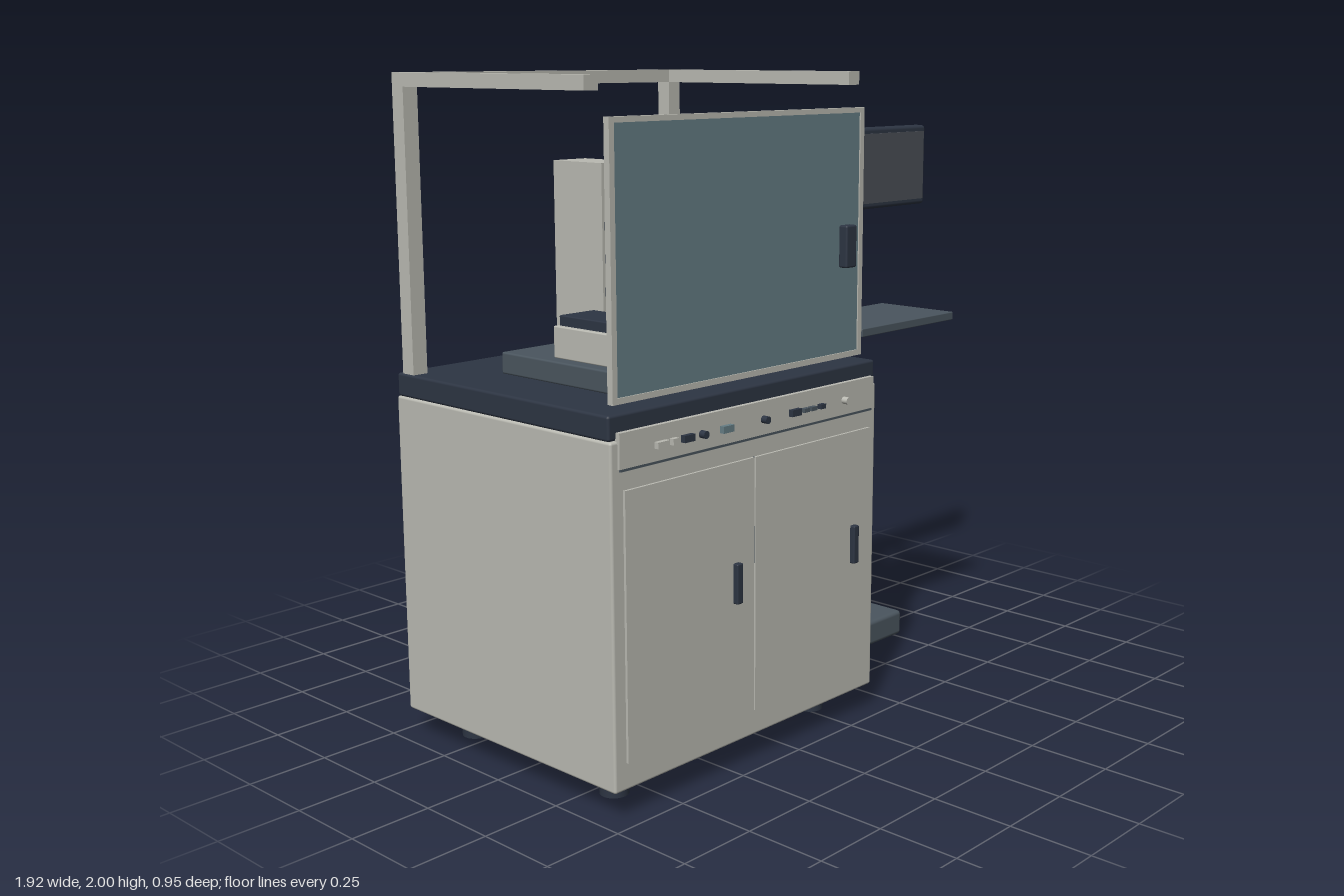
import * as THREE from 'three';
import { RoundedBoxGeometry } from 'three/addons/geometries/RoundedBoxGeometry.js';

const material = (name, color) => {
  const m = new THREE.MeshStandardMaterial({ color });
  m.name = name;
  return m;
};

export function createModel() {
  const model = new THREE.Group();
  model.name = 'inspectionWorkstation';

  const beige = material('warmGrey', 0xbabab2);
  const navy = material('darkNavy', 0x2d3543);
  const slate = material('slate', 0x4a555e);
  const glass = material('tintedGlass', 0x667e85);
  const screen = material('screenGrey', 0x4b4f57);

  // Box given by its limits on each axis, with an optional edge radius
  const box = (name, mat, [x0, x1], [y0, y1], [z0, z1], r = 0) => {
    const w = x1 - x0, h = y1 - y0, d = z1 - z0;
    const geo = r ? new RoundedBoxGeometry(w, h, d, 2, r) : new THREE.BoxGeometry(w, h, d);
    const mesh = new THREE.Mesh(geo, mat);
    mesh.name = name;
    mesh.position.set((x0 + x1) / 2, (y0 + y1) / 2, (z0 + z1) / 2);
    model.add(mesh);
    return mesh;
  };

  // Cylinder centred on a point, standing or lying along z
  const rod = (name, mat, r, length, x, y, z, alongZ = false) => {
    const mesh = new THREE.Mesh(new THREE.CylinderGeometry(r, r, length, 32), mat);
    mesh.name = name;
    mesh.position.set(x, y, z);
    if (alongZ) mesh.rotation.x = Math.PI / 2;
    model.add(mesh);
    return mesh;
  };

  // Cabinet, worktop and feet
  box('cabinet', beige, [-0.96, 0.16], [0.08, 1.06], [-0.468, 0.45], 0.008);
  box('worktop', navy, [-0.96, 0.16], [1.06, 1.13], [-0.462, 0.443], 0.008);
  for (const x of [-0.828, 0.028])
    for (const z of [0.305, -0.31]) rod('foot', navy, 0.043, 0.085, x, 0.0425, z);

  // Doors with a dark gap and handles
  box('rightDoor', beige, [-0.917, -0.408], [0.16, 0.925], [0.445, 0.458]);
  box('leftDoor', beige, [-0.402, 0.125], [0.16, 0.925], [0.445, 0.458]);
  box('doorGap', slate, [-0.408, -0.402], [0.16, 0.925], [0.446, 0.453]);
  for (const x of [-0.484, 0.046])
    box('doorHandle', navy, [x - 0.012, x + 0.012], [0.51, 0.63], [0.455, 0.475], 0.004);

  // Control panel with its shadow strip
  box('controlPanel', beige, [-0.935, 0.138], [0.985, 1.083], [0.44, 0.458]);
  box('panelStrip', slate, [-0.93, 0.135], [0.977, 0.985], [0.446, 0.455]);

  // Panel sockets: centre x, width, height, material
  const sockets = [
    [-0.785, 0.045, 0.018, beige], [-0.738, 0.022, 0.018, beige],
    [-0.685, 0.04, 0.02, navy], [-0.53, 0.042, 0.02, glass],
    [-0.238, 0.042, 0.02, navy], [-0.193, 0.024, 0.012, slate],
    [-0.16, 0.024, 0.012, slate], [-0.118, 0.022, 0.014, navy],
  ];
  for (const [x, w, h, mat] of sockets)
    box('panelSocket', mat, [x - w / 2, x + w / 2], [1.03 - h / 2, 1.03 + h / 2], [0.455, 0.473]);
  for (const [x, mat] of [[-0.625, navy], [-0.37, navy], [-0.006, beige]])
    rod('panelButton', mat, 0.011, 0.022, x, 1.03, 0.467, true);

  // Rear ports
  for (const x of [-0.66, -0.485, -0.23])
    box('rearPort', navy, [x - 0.02, x + 0.02], [0.525, 0.555], [-0.476, -0.46]);

  // Overhead frame
  for (const [x0, x1] of [[-0.957, -0.907], [0.11, 0.16]]) {
    box('framePost', beige, [x0, x1], [1.13, 1.96], [-0.437, -0.387]);
    box('frameSideBeam', beige, [x0, x1], [1.96, 2.0], [-0.437, 0.368]);
  }
  box('frameBackBeam', beige, [-0.907, 0.11], [1.96, 2.0], [-0.437, -0.387]);

  // Front guard window
  box('guardGlass', glass, [-0.9, 0.108], [1.165, 1.88], [0.401, 0.413]);
  for (const [x0, x1] of [[-0.918, -0.9], [0.108, 0.126]])
    box('guardSideRail', beige, [x0, x1], [1.148, 1.895], [0.397, 0.417]);
  for (const [y0, y1] of [[1.148, 1.165], [1.88, 1.895]])
    box('guardCrossRail', beige, [-0.9, 0.108], [y0, y1], [0.397, 0.417]);
  box('guardHandle', navy, [0.013, 0.061], [1.425, 1.552], [0.415, 0.447], 0.006);

  // Machine base and column
  box('machineBase', slate, [-0.77, -0.03], [1.132, 1.197], [-0.212, 0.34], 0.006);
  box('machineColumn', beige, [-0.465, -0.335], [1.225, 1.735], [-0.312, -0.1]);
  box('columnSlide', navy, [-0.455, -0.345], [1.3, 1.62], [-0.1, -0.06]);

  // Working head, spindle and the parts below it
  box('headArm', beige, [-0.45, -0.352], [1.435, 1.54], [-0.012, 0.218], 0.005);
  rod('spindle', beige, 0.009, 0.2, -0.4, 1.335, 0.19);
  box('spindleBase', navy, [-0.465, -0.332], [1.195, 1.24], [0.125, 0.245]);
  box('sideSensor', slate, [-0.352, -0.308], [1.195, 1.25], [0.03, 0.12]);

  // Camera
  box('cameraBody', slate, [-0.552, -0.502], [1.525, 1.602], [0.19, 0.262]);
  rod('cameraLens', navy, 0.015, 0.05, -0.527, 1.503, 0.235);

  // Stop switch
  box('switchBox', slate, [-0.287, -0.212], [1.195, 1.217], [0.183, 0.255]);
  rod('switchButton', navy, 0.019, 0.025, -0.249, 1.229, 0.219);

  // Pair of work fixtures with guide pins
  for (const x of [-0.648, -0.152]) {
    box('fixtureBlock', beige, [x - 0.083, x + 0.083], [1.197, 1.29], [-0.025, 0.205], 0.004);
    box('fixturePlate', navy, [x - 0.067, x + 0.067], [1.285, 1.32], [-0.017, 0.2], 0.004);
    for (const y of [1.268, 1.304]) rod('guidePin', beige, 0.009, 0.08, x, y, 0.22, true);
  }

  // Monitor stand
  box('standBase', slate, [0.35, 0.742], [0.018, 0.105], [-0.237, 0.135], 0.014);
  rod('standPole', beige, 0.049, 1.485, 0.546, 0.8425, -0.07);
  box('keyboardTray', slate, [0.3, 0.797], [1.163, 1.19], [-0.02, 0.285], 0.003);

  // Two monitors
  for (const x of [0.336, 0.756]) {
    box('monitorCase', navy, [x - 0.202, x + 0.202], [1.533, 1.807], [-0.012, 0.036], 0.012);
    box('monitorScreen', screen, [x - 0.182, x + 0.182], [1.553, 1.787], [0.035, 0.043]);
  }

  return model;
}
